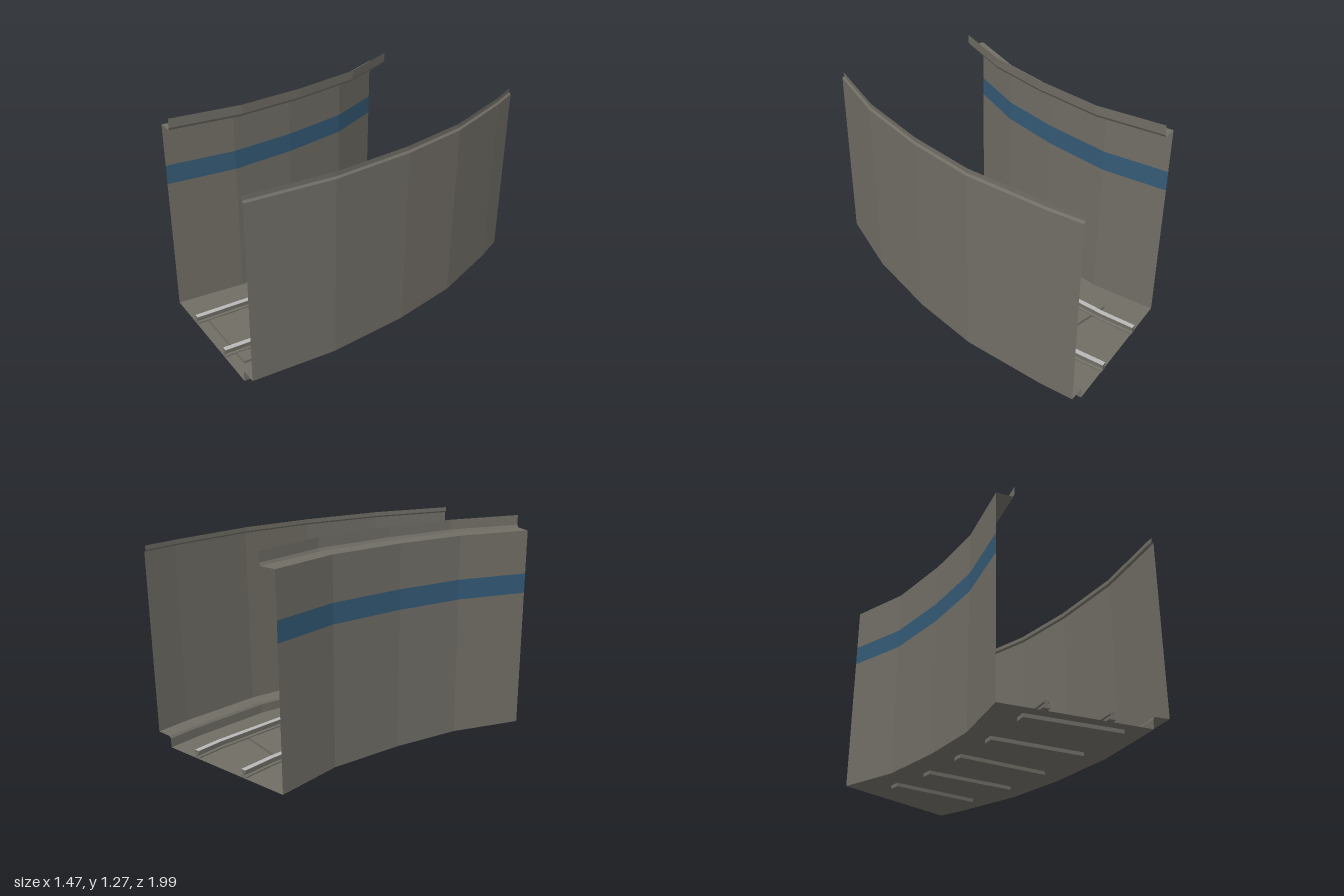
import * as THREE from 'three';

const mat = (name, color) => {
  const m = new THREE.MeshStandardMaterial({ color, side: THREE.DoubleSide });
  m.name = name;
  return m;
};

// Plan curves as [x, z], running from the back end to the front end
const INNER = [[-0.238, -0.99], [-0.254, -0.6], [-0.37, -0.185], [-0.513, 0.18], [-0.735, 0.535]];
const OUTER = [[0.73, -0.99], [0.722, -0.79], [0.667, -0.31], [0.55, 0.1], [0.365, 0.556], [0.112, 0.99]];
const RAILS = [
  [[0.035, -1], [0.022, -0.8], [-0.02, -0.5], [-0.145, -0.11], [-0.29, 0.27], [-0.505, 0.66]],
  [[0.398, -1], [0.392, -0.84], [0.335, -0.41], [0.185, 0.07], [0.03, 0.45], [-0.185, 0.83]],
];

// Shift a plan curve sideways (positive = towards +x), with mitred corners and fixed end cuts
function offset(path, d) {
  const normal = (a, b) => new THREE.Vector2(b[1] - a[1], a[0] - b[0]).normalize();
  return path.map((p, i) => {
    let n;
    if (i === 0) n = new THREE.Vector2(1, 0);
    else if (i === path.length - 1) n = new THREE.Vector2(0.88, 0.475);
    else {
      const a = normal(path[i - 1], p), b = normal(p, path[i + 1]);
      n = a.clone().add(b).divideScalar(1 + a.dot(b));
    }
    return [p[0] + n.x * d, p[1] + n.y * d];
  });
}

// Sweep a profile of [sideways offset, height] along a plan curve, with flat faces
function sweep(path, profile, capped = false) {
  const pos = [];
  const rows = profile.map(([d, y]) => offset(path, d).map(([x, z]) => [x, y, z]));
  const quad = (a, b, c, d) => pos.push(...a, ...b, ...c, ...a, ...c, ...d);
  for (let r = 0; r < rows.length - 1; r++) {
    for (let i = 0; i < path.length - 1; i++) {
      quad(rows[r][i], rows[r][i + 1], rows[r + 1][i + 1], rows[r + 1][i]);
    }
  }
  // Close the ends of a mirrored profile by joining its two halves
  if (capped) {
    const n = rows.length;
    for (const e of [0, path.length - 1]) {
      for (let r = 0; r < n / 2 - 1; r++) quad(rows[r][e], rows[r + 1][e], rows[n - 2 - r][e], rows[n - 1 - r][e]);
    }
  }
  const g = new THREE.BufferGeometry();
  g.setAttribute('position', new THREE.Float32BufferAttribute(pos, 3));
  g.computeVertexNormals();
  return g;
}

export function createModel() {
  const concrete = mat('concrete grey', 0x706d65);
  const blue = mat('stripe blue', 0x345a76);
  const steel = mat('rail top silver', 0xb8b8b8);
  const model = new THREE.Group();
  model.name = 'curvedTrackSection';
  const add = (name, geometry, material) => {
    const m = new THREE.Mesh(geometry, material);
    m.name = name;
    model.add(m);
    return m;
  };

  // Floor between the inner wall and the outer step
  const outline = [...INNER, ...offset(OUTER, -0.1).reverse()];
  const floor = new THREE.ShapeGeometry(new THREE.Shape(outline.map(([x, z]) => new THREE.Vector2(x, -z))));
  floor.rotateX(-Math.PI / 2).translate(0, 0.025, 0);
  add('floor', floor, concrete);

  // Inner wall with its stripe and stepped coping
  add('innerWallLower', sweep(INNER, [[0, 0.025], [0, 0.835]]), concrete);
  add('innerWallStripe', sweep(INNER, [[0, 0.835], [0, 0.95]]), blue);
  add('innerWallUpper', sweep(INNER, [[0, 0.95], [0, 1.2]]), concrete);
  add('innerCoping', sweep(INNER, [[0, 1.2], [0.095, 1.2], [0.105, 1.215], [0.107, 1.27]]), concrete);

  // Outer step, ledge, wall and lip
  add('outerStep', sweep(OUTER, [[-0.1, 0.025], [-0.1, 0.08], [-0.09, 0.092], [0, 0.095]]), concrete);
  add('outerWall', sweep(OUTER, [[0, 0.095], [0, 1.145]]), concrete);
  add('outerLip', sweep(OUTER, [[0, 1.145], [-0.011, 1.155], [-0.011, 1.18]]), concrete);

  // Sleepers: x, z, turn in degrees
  const sleepers = [[0.18, -0.66, 14.2], [0.115, -0.33, 18.4], [0, 0, 19], [-0.13, 0.33, 24.9], [-0.29, 0.66, 28.5]];
  for (const [x, z, deg] of sleepers) {
    const s = add('sleeper', new THREE.BoxGeometry(0.56, 0.036, 0.066), concrete);
    s.position.set(x, 0.022, z);
    s.rotation.y = -THREE.MathUtils.degToRad(deg);
  }

  // Rails with foot, web and head, and a bright running surface
  const half = [[-0.02, 0.038], [-0.02, 0.046], [-0.007, 0.05], [-0.007, 0.064], [-0.015, 0.067], [-0.015, 0.08]];
  const railProfile = [...half, ...half.map(([d, y]) => [-d, y]).reverse(), half[0]];
  for (const path of RAILS) {
    add('rail', sweep(path, railProfile.slice(0, -1), true), concrete);
    add('railFoot', sweep(path, [[-0.02, 0.038], [0.02, 0.038]]), concrete);
    add('railTop', sweep(path, [[-0.015, 0.082], [0.015, 0.082]]), steel);
  }
  // Settle on the ground
  model.position.y = -0.004;
  return model;
}
